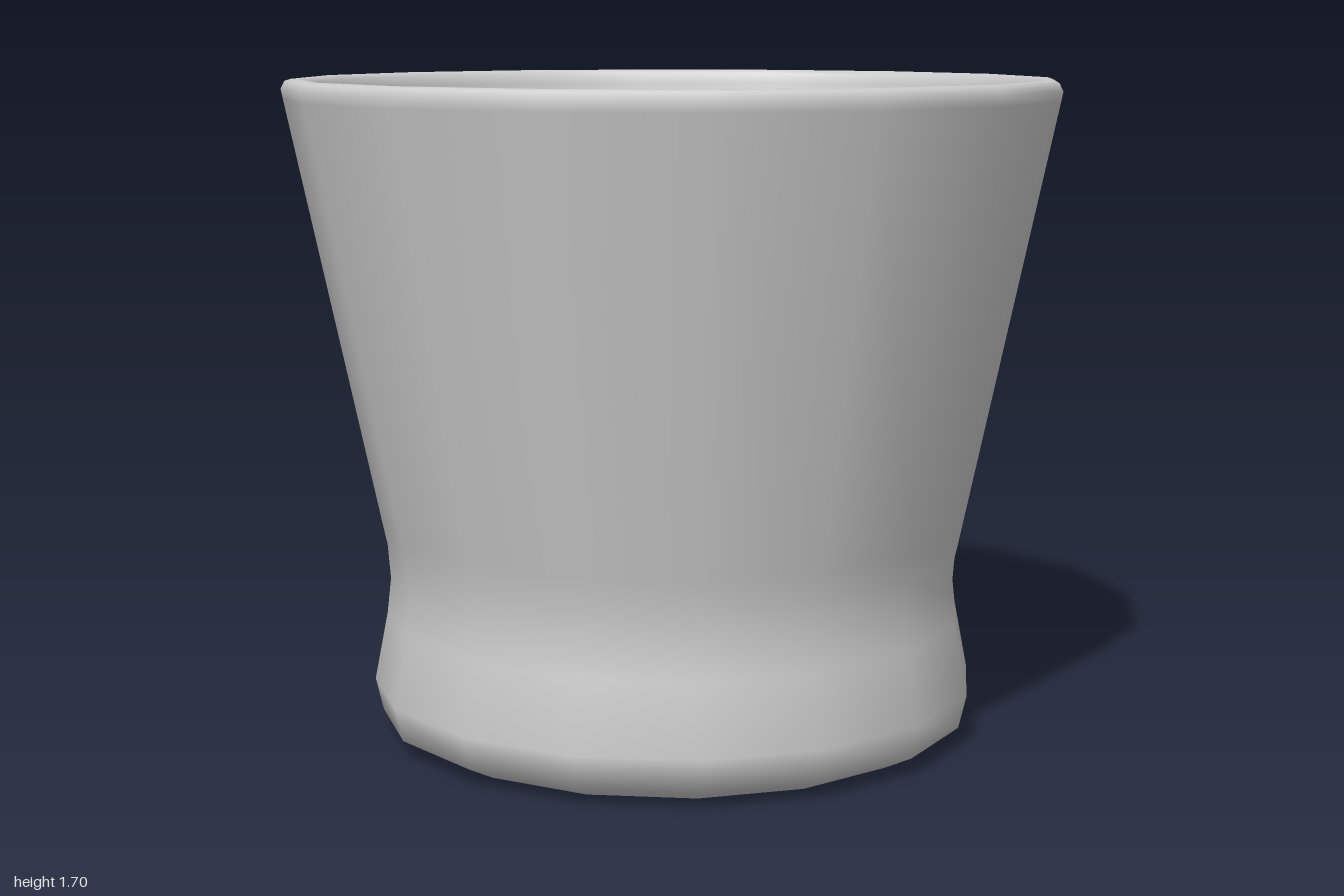
import * as THREE from 'three';

export function createModel() {
  const model = new THREE.Group();
  const grey = new THREE.MeshStandardMaterial({ color: 0xcccccc });
  grey.name = 'plain grey';

  // Closed profile [radius, height]: under the foot, up the outside, over the rim, down the inside
  const profile = [
    // foot
    [0, 0], [0.66, 0], [0.69, 0.005], [0.77, 0.045], [0.79, 0.13],
    // waist
    [0.755, 0.31], [0.745, 0.4], [0.752, 0.49],
    // outer wall and rounded rim
    [0.765, 0.55], [0.995, 1.65], [1, 1.675], [0.99, 1.695], [0.975, 1.7],
    [0.955, 1.7], [0.94, 1.69], [0.93, 1.665],
    // inner wall and waist
    [0.69, 0.52], [0.678, 0.46], [0.673, 0.4], [0.685, 0.31],
    // hollow foot and floor
    [0.72, 0.14], [0.71, 0.1], [0.65, 0.07], [0.61, 0.06], [0, 0.06],
  ].map(([r, y]) => new THREE.Vector2(r, y));

  // Sixteen sides, with a corner on each axis
  const cup = new THREE.Mesh(new THREE.LatheGeometry(profile, 16), grey);
  cup.name = 'cup';
  model.add(cup);
  return model;
}
